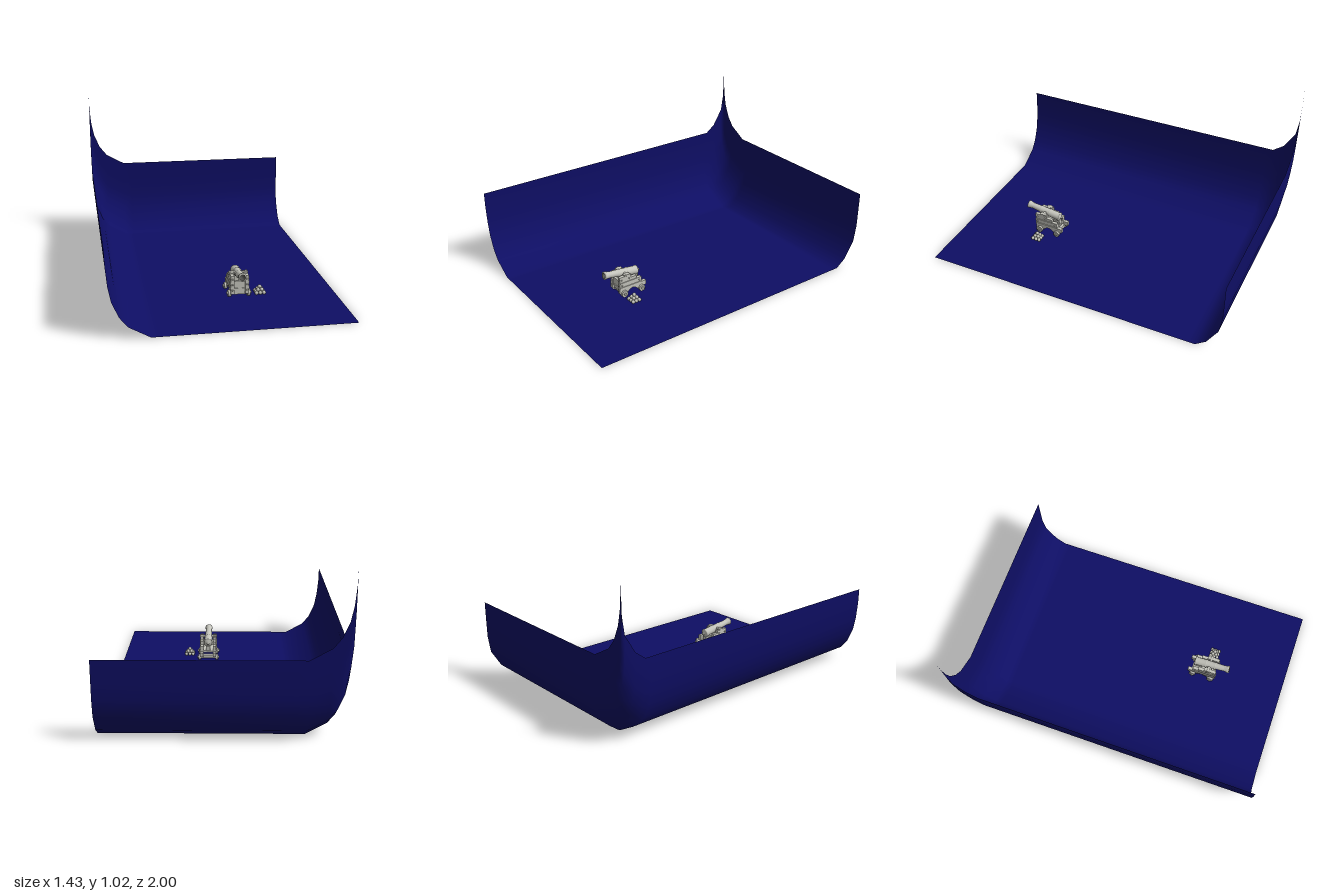
import * as THREE from 'three';

export function createModel() {
  const model = new THREE.Group();
  const navy = new THREE.MeshStandardMaterial({ name: 'navy backdrop', color: 0x0e0e64, side: THREE.DoubleSide });
  const grey = new THREE.MeshStandardMaterial({ name: 'pale grey', color: 0xc4c4bc });
  const dark = new THREE.MeshStandardMaterial({ name: 'dark bore', color: 0x555552, side: THREE.DoubleSide });

  const add = (parent, name, geometry, material, x = 0, y = 0, z = 0) => {
    const mesh = new THREE.Mesh(geometry, material);
    mesh.name = name;
    mesh.position.set(x, y, z);
    parent.add(mesh);
    return mesh;
  };

  // Backdrop: heights of the side curve and the back curve add up in the corner
  const side = [[-0.717, 0.515], [-0.715, 0.42], [-0.705, 0.31], [-0.687, 0.22], [-0.648, 0.13],
    [-0.6, 0.07], [-0.475, 0], [-0.42, 0], [0.715, 0]];
  const back = [[-1, 0.505], [-0.999, 0.38], [-0.997, 0.27], [-0.98, 0.16], [-0.912, 0.05],
    [-0.845, 0], [-0.8, 0], [1, 0]];
  const points = [], index = [], n = side.length;
  back.forEach(([z, g], j) => side.forEach(([x, f], i) => {
    points.push(x, f + g, z);
    if (i && j) {
      const a = (j - 1) * n + i - 1, b = a + 1, c = a + n, d = c + 1;
      index.push(a, c, b, b, c, d);
    }
  }));
  const sheet = new THREE.BufferGeometry();
  sheet.setAttribute('position', new THREE.Float32BufferAttribute(points, 3));
  sheet.setIndex(index);
  sheet.computeVertexNormals();
  add(model, 'curvedBackdrop', sheet, navy);

  const cannon = new THREE.Group();
  cannon.name = 'cannon';
  cannon.position.x = 0.116;
  model.add(cannon);

  // Barrel, turned around its own axis and raised at the muzzle
  const barrel = new THREE.Group();
  barrel.name = 'barrel';
  barrel.position.set(0, 0.122, 0.355);
  barrel.rotation.x = 1.415;
  cannon.add(barrel);
  const profile = [[0, -0.006], [0.006, -0.004], [0.008, 0.002], [0.005, 0.008], [0.014, 0.011],
    [0.026, 0.016], [0.03, 0.018], [0.03, 0.025], [0.027, 0.027], [0.0265, 0.09], [0.028, 0.091],
    [0.028, 0.097], [0.025, 0.099], [0.0235, 0.155], [0.025, 0.156], [0.025, 0.162], [0.0225, 0.164],
    [0.02, 0.225], [0.022, 0.227], [0.022, 0.231], [0.021, 0.233], [0.026, 0.25], [0.0255, 0.258],
    [0.017, 0.26]];
  add(barrel, 'gunTube', new THREE.LatheGeometry(profile.map(([r, s]) => new THREE.Vector2(r, s)), 24), grey);
  const bore = [[0.017, 0.26], [0.016, 0.2], [0, 0.2]];
  add(barrel, 'bore', new THREE.LatheGeometry(bore.map(([r, s]) => new THREE.Vector2(r, s)), 24), dark);

  // Cylinder lying across the carriage
  const acrossX = (r, length, sides = 18) =>
    new THREE.CylinderGeometry(r, r, length, sides).rotateZ(Math.PI / 2);
  add(cannon, 'trunnions', acrossX(0.01, 0.12), grey, 0, 0.143, 0.473);

  // Stepped cheek outline in z and y, with an arch between the axles
  const outline = new THREE.Shape();
  outline.moveTo(0.53, 0.024);
  [[0.53, 0.142], [0.445, 0.142], [0.445, 0.122], [0.405, 0.122], [0.405, 0.1], [0.368, 0.1],
    [0.368, 0.062], [0.334, 0.062], [0.334, 0.032], [0.4, 0.024]].forEach(p => outline.lineTo(...p));
  outline.quadraticCurveTo(0.435, 0.062, 0.47, 0.024);
  const cheek = new THREE.ExtrudeGeometry(outline, { depth: 0.022, bevelEnabled: false, curveSegments: 8 })
    .rotateY(-Math.PI / 2).translate(0.011, 0, 0);

  for (const s of [-1, 1]) {
    add(cannon, 'cheek', cheek, grey, s * 0.045, 0, 0);
    add(cannon, 'trunnionCap', new THREE.BoxGeometry(0.026, 0.008, 0.04), grey, s * 0.045, 0.146, 0.473);
    // Raised rails along the outer face
    add(cannon, 'lowerRail', new THREE.BoxGeometry(0.006, 0.009, 0.16), grey, s * 0.058, 0.065, 0.449);
    add(cannon, 'upperRail', new THREE.BoxGeometry(0.006, 0.009, 0.12), grey, s * 0.058, 0.098, 0.469);
    for (const [y, z] of [[0.12, 0.515], [0.12, 0.46], [0.082, 0.515], [0.082, 0.385]])
      add(cannon, 'bolt', new THREE.SphereGeometry(0.005, 10, 6), grey, s * 0.057, y, z);
    for (const y of [0.05, 0.085, 0.12])
      add(cannon, 'frontBolt', new THREE.SphereGeometry(0.005, 10, 6), grey, s * 0.045, y, 0.531);
    // Wheels with hubs
    for (const [z, r] of [[0.5, 0.022], [0.37, 0.021]]) {
      add(cannon, 'wheel', acrossX(r, 0.018, 24), grey, s * 0.06, r, z);
      add(cannon, 'wheelHub', acrossX(0.009, 0.016), grey, s * 0.069, r, z);
    }
  }

  // Axle beams, front board, bed and elevating wedge between the cheeks
  for (const z of [0.5, 0.37])
    add(cannon, 'axleBeam', new THREE.BoxGeometry(0.104, 0.024, 0.026), grey, 0, 0.028, z);
  add(cannon, 'frontBoard', new THREE.BoxGeometry(0.07, 0.07, 0.016), grey, 0, 0.07, 0.512);
  add(cannon, 'frontBoardRail', new THREE.BoxGeometry(0.07, 0.01, 0.022), grey, 0, 0.055, 0.513);
  add(cannon, 'bed', new THREE.BoxGeometry(0.07, 0.012, 0.13), grey, 0, 0.062, 0.43);
  add(cannon, 'elevatingWedge', new THREE.BoxGeometry(0.03, 0.032, 0.05), grey, 0, 0.084, 0.395);

  // Pyramid of cannonballs
  const r = 0.0118, ball = new THREE.SphereGeometry(r, 16, 12);
  const pile = new THREE.Group();
  pile.name = 'cannonballPile';
  pile.position.set(0.251, r, 0.477);
  model.add(pile);
  for (let layer = 0; layer < 3; layer++) {
    const count = 3 - layer, half = (count - 1) / 2;
    for (let i = 0; i < count; i++)
      for (let j = 0; j < count; j++)
        add(pile, 'cannonball', ball, grey, (i - half) * 2 * r, layer * Math.SQRT2 * r, (j - half) * 2 * r);
  }
  return model;
}
